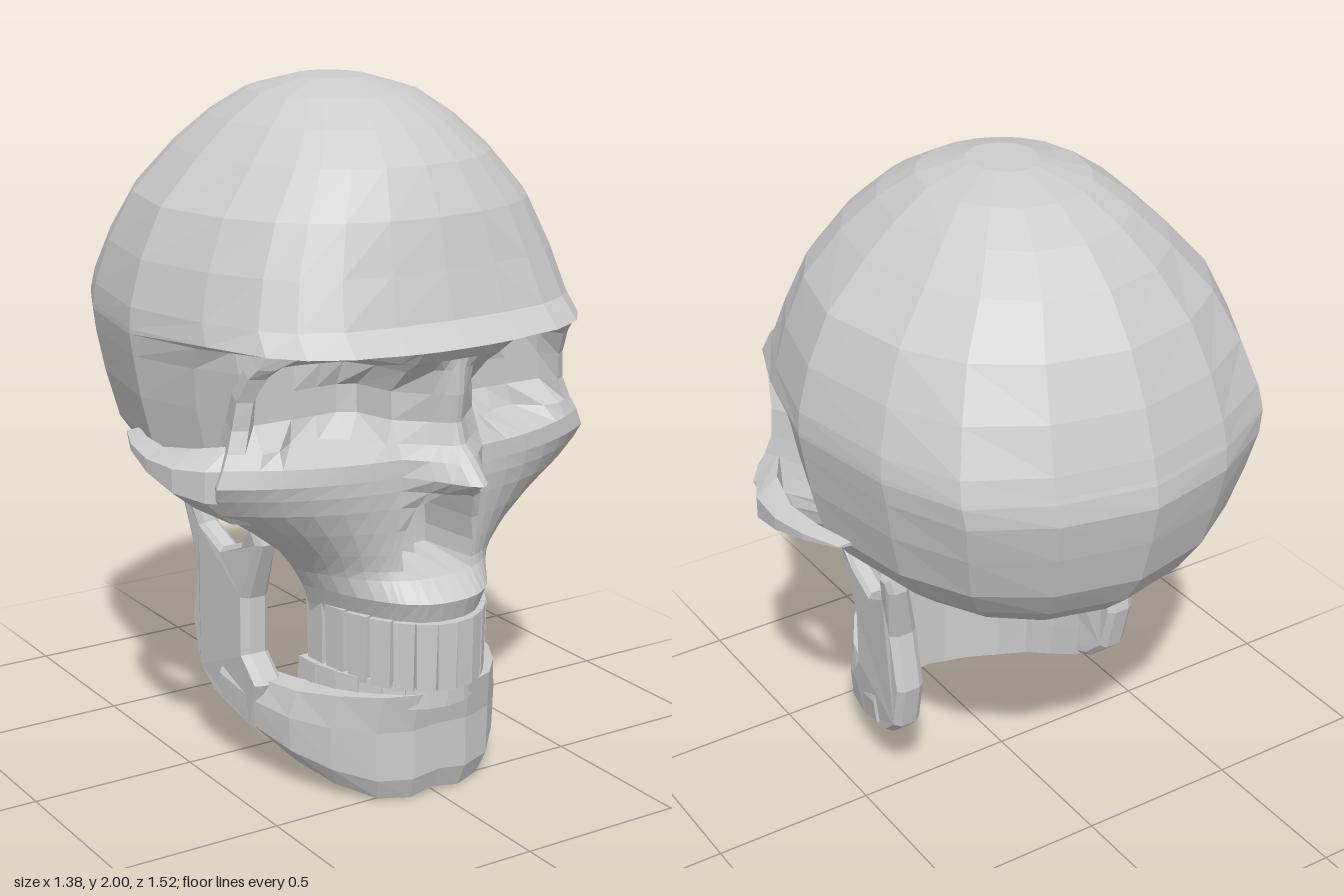
import * as THREE from 'three';

const bone = new THREE.MeshStandardMaterial({ color: 0xcccccc, flatShading: true, side: THREE.DoubleSide });

function addMesh(parent, name, geometry) {
  const mesh = new THREE.Mesh(geometry, bone);
  mesh.name = name;
  parent.add(mesh);
  return mesh;
}

// Completes a half ring, running from front to back, with its mirror image
const mirrorRing = (half, inner) => [...half, ...half.slice(1, inner).reverse().map(([x, y, z]) => [-x, y, z])];

// Skins equal-length rings of [x, y, z]; diagonals mirror halfway round, winding is turned outward by signed volume.
function loft(rings) {
  const tris = [];
  const n = rings[0].length;
  for (let i = 0; i < rings.length - 1; i++) {
    for (let j = 0; j < n; j++) {
      const k = (j + 1) % n;
      const [a, b, c, d] = [rings[i][j], rings[i][k], rings[i + 1][k], rings[i + 1][j]];
      if (j < n / 2) tris.push([a, b, c], [a, c, d]);
      else tris.push([a, b, d], [b, c, d]);
    }
  }
  const first = rings[0], last = rings[rings.length - 1];
  for (let j = 1; j < n - 1; j++) {
    tris.push([first[0], first[j + 1], first[j]], [last[0], last[j], last[j + 1]]);
  }
  let volume = 0;
  for (const [a, b, c] of tris) {
    volume += a[0] * (b[1] * c[2] - b[2] * c[1]) + a[1] * (b[2] * c[0] - b[0] * c[2]) + a[2] * (b[0] * c[1] - b[1] * c[0]);
  }
  if (volume < 0) tris.forEach((t) => t.reverse());
  const g = new THREE.BufferGeometry();
  g.setAttribute('position', new THREE.Float32BufferAttribute(tris.flat(2), 3));
  g.computeVertexNormals();
  return g;
}

// Cranium: rings [y, half width, front z, back z, squareness] between a circle and a brow-shaped plan
function cranium() {
  const plan = [
    [0, 1], [0.27, 0.985], [0.5, 0.95], [0.67, 0.86], [0.78, 0.73], [0.89, 0.45], [1, 0],
    [0.91, -0.46], [0.75, -0.765], [0.42, -0.92], [0, -1],
  ];
  const rows = [
    [2.0, 0.1, 0.1, -0.12, 0], [1.96, 0.24, 0.24, -0.28, 0], [1.89, 0.34, 0.37, -0.41, 0],
    [1.8, 0.44, 0.47, -0.52, 0.1], [1.67, 0.56, 0.54, -0.62, 0.3], [1.53, 0.625, 0.575, -0.69, 0.6],
    [1.4, 0.66, 0.61, -0.735, 0.9], [1.34, 0.665, 0.675, -0.75, 1], [1.325, 0.665, 0.56, -0.755, 1],
    [1.26, 0.655, 0.48, -0.765, 0.9], [1.14, 0.635, 0.44, -0.74, 0.7], [1.0, 0.6, 0.42, -0.7, 0.5],
    [0.9, 0.53, 0.38, -0.635, 0.3], [0.815, 0.43, 0.33, -0.54, 0.2], [0.75, 0.3, 0.24, -0.34, 0],
    [0.71, 0.13, 0.14, -0.1, 0],
  ];
  return loft(rows.map(([y, w, front, back, square]) => mirrorRing(plan.map(([px, pz]) => {
    const scale = square + (1 - square) / Math.hypot(px, pz);
    const z = pz * scale * (pz > 0 ? front : -back);
    return [px * scale * w, y, y < 1.33 ? Math.min(z, 0.33) : z];
  }), -1)));
}

// Face: rows [y, half width, front z, edge z, nose ridge, nose half width], pressed in at the sockets and nose opening
function face() {
  const rows = [
    [1.36, 0.48, 0.58, 0.42, 0, 0.06], [1.335, 0.51, 0.67, 0.48, 0, 0.06], [1.3, 0.525, 0.64, 0.46, 0, 0.06],
    [1.27, 0.535, 0.59, 0.43, 0.05, 0.04], [1.2, 0.55, 0.56, 0.39, 0.08, 0.035], [1.12, 0.56, 0.54, 0.38, 0.09, 0.035],
    [1.06, 0.58, 0.55, 0.39, 0.1, 0.045], [1.02, 0.6, 0.57, 0.4, 0.13, 0.055], [0.97, 0.62, 0.57, 0.4, 0.19, 0.055],
    [0.93, 0.61, 0.57, 0.38, 0.12, 0.055], [0.88, 0.58, 0.565, 0.36, 0.05, 0.07], [0.81, 0.48, 0.56, 0.35, 0, 0.085],
    [0.74, 0.39, 0.56, 0.34, 0, 0.095], [0.69, 0.345, 0.565, 0.32, 0, 0.09], [0.665, 0.325, 0.58, 0.31, 0, 0.08],
    [0.61, 0.29, 0.645, 0.3, 0, 0.08], [0.55, 0.265, 0.625, 0.29, 0, 0.08], [0.5, 0.25, 0.63, 0.28, 0, 0.08],
    [0.44, 0.23, 0.61, 0.28, 0, 0.08], [0.46, 0.04, 0.34, 0.28, 0, 0.02],
  ];
  return loft(rows.map(([y, w, front, edge, nose, a]) => {
    const inner = [0, a * 0.5, a, a + 0.025, 0.135];
    const outer = [0.08, 0.2, 0.36, 0.54, 0.7, 0.82, 0.91, 1].map((t) => 0.135 + (w - 0.135) * t);
    const half = [...inner, ...outer].map((column, i) => {
      const x = Math.min(column, w);
      let z = edge + (front - edge) * (1 - (x / w) ** 2.5);
      z += nose * Math.min(1, Math.max(0, 1.15 * (1 - x / (a + 0.07))));
      // Squarish eye socket
      const d = (Math.abs(x - 0.315) / 0.19) ** 3 + (Math.abs(y - 1.185) / 0.15) ** 3;
      if (d < 1) z = Math.max(z - Math.min(0.18, 0.3 * (1 - d)), 0.365);
      // Nose opening with a thin central wall
      if (y < 0.9 && y > 0.68 && i < 3) z -= i ? 0.2 : 0.13;
      return [x, y, z];
    });
    // Side wall and back
    const back = y > 0.7 ? 0.09 : 0.24;
    half.push([Math.max(w - 0.05, w * 0.8), y, Math.max(edge - 0.12, back + 0.01)], [w * 0.72, y, back]);
    return mirrorRing(half);
  }));
}

// Cheek arch: five-sided sections [x, y, z, half height, half thickness]
function cheekArch() {
  const rows = [
    [0.5, 0.96, 0.41, 0.12, 0.05], [0.59, 0.96, 0.355, 0.11, 0.04], [0.645, 0.965, 0.26, 0.085, 0.035],
    [0.662, 0.98, 0.13, 0.048, 0.027], [0.645, 1.0, 0, 0.025, 0.025], [0.6, 1.01, -0.12, 0.006, 0.02],
  ];
  return loft(rows.map(([x, y, z, h, t]) => [
    [x - t, y + h, z], [x + t, y + h * 0.45, z], [x + t, y - h * 0.35, z], [x - t, y - h, z], [x - t * 1.4, y, z],
  ]));
}

// Jaw body: swept from one side round the chin to the other, [x, z, bottom, top]
function jawBody() {
  const half = [
    [0, 0.57, 0.015, 0.33], [0.09, 0.57, 0.0, 0.33], [0.19, 0.535, 0.005, 0.33], [0.28, 0.44, 0.035, 0.32],
    [0.35, 0.33, 0.08, 0.31], [0.39, 0.2, 0.125, 0.31], [0.42, 0.06, 0.18, 0.35],
  ];
  const path = [...half.slice(1).reverse().map(([x, ...r]) => [-x, ...r]), ...half];
  return loft(path.map(([x, z, bottom, top]) => {
    const mid = (b) => bottom + (top - bottom) * b;
    const innerZ = z * 0.8;
    return [
      [x * 0.96, top, z * 1.04], [x * 1.02, mid(0.65), z], [x, mid(0.2), z], [x * 0.91, bottom, z * 0.96],
      [x * 0.76, mid(0.05), innerZ], [x * 0.78, mid(0.6), innerZ], [x * 0.8, top, innerZ],
    ];
  }));
}

// Jaw branch: side outline in (z, y) extruded in x, leaning outward and thinning to the top
function jawBranch() {
  const outline = [
    [0.18, 0.14], [0, 0.205], [-0.07, 0.27], [-0.105, 0.42], [-0.07, 0.6], [-0.11, 0.78], [-0.1, 0.83], [-0.05, 0.83],
    [-0.02, 0.73], [0.07, 0.68], [0.17, 0.72], [0.24, 0.8], [0.26, 0.73], [0.18, 0.55], [0.18, 0.38], [0.24, 0.3],
  ];
  const shape = new THREE.Shape(outline.map(([z, y]) => new THREE.Vector2(-z, y)));
  const g = new THREE.ExtrudeGeometry(shape, {
    depth: 0.05, bevelEnabled: true, bevelSegments: 1, bevelThickness: 0.02, bevelSize: 0.015, bevelOffset: -0.015,
  });
  g.rotateY(Math.PI / 2);
  const p = g.attributes.position;
  for (let i = 0; i < p.count; i++) {
    const y = p.getY(i), z = p.getZ(i);
    const lean = 0.36 + Math.max(0, y - 0.6) * 0.22 - Math.max(0, 0.3 - y) * 0.15 - Math.max(0, z - 0.1) * 0.2;
    p.setX(i, lean + p.getX(i) * (y > 0.65 ? 0.75 : 1));
  }
  g.computeVertexNormals();
  return g;
}

// Row of tapered teeth along a horseshoe arch; taper is the lower radius over the upper
function teeth(parent, name, { count, width, front, back, y, height, taper }) {
  const row = new THREE.Group();
  row.name = name;
  for (let i = 0; i < count; i++) {
    const a = ((i + 0.5) / count - 0.5) * Math.PI;
    const molar = Math.abs(Math.sin(a)) ** 3;
    const g = new THREE.CylinderGeometry(0.042, 0.042 * taper, height, 4);
    g.rotateY(Math.PI / 4);
    g.scale(1 + molar * 0.3, 1, 1 + molar * 0.4);
    const tooth = addMesh(row, 'tooth', g);
    tooth.position.set(width * Math.sin(a), y + molar * 0.01, back + (front - back) * Math.cos(a));
    tooth.rotation.y = Math.atan2(Math.sin(a) / width, Math.cos(a) / (front - back));
  }
  parent.add(row);
}

export function createModel() {
  const skull = new THREE.Group();
  skull.name = 'skull';
  addMesh(skull, 'cranium', cranium());
  addMesh(skull, 'face', face());

  const jaw = new THREE.Group();
  jaw.name = 'lowerJaw';
  skull.add(jaw);
  addMesh(jaw, 'jawBody', jawBody());

  // Mirrored side parts
  const arch = cheekArch();
  const branch = jawBranch();
  for (const [side, sign] of [['left', 1], ['right', -1]]) {
    addMesh(skull, side + 'CheekArch', arch).scale.x = sign;
    addMesh(jaw, side + 'JawBranch', branch).scale.x = sign;
  }

  teeth(skull, 'upperTeeth', { count: 14, width: 0.215, front: 0.62, back: 0.26, y: 0.45, height: 0.2, taper: 0.9 });
  teeth(jaw, 'lowerTeeth', { count: 14, width: 0.23, front: 0.575, back: 0.25, y: 0.325, height: 0.08, taper: 1.1 });
  return skull;
}
